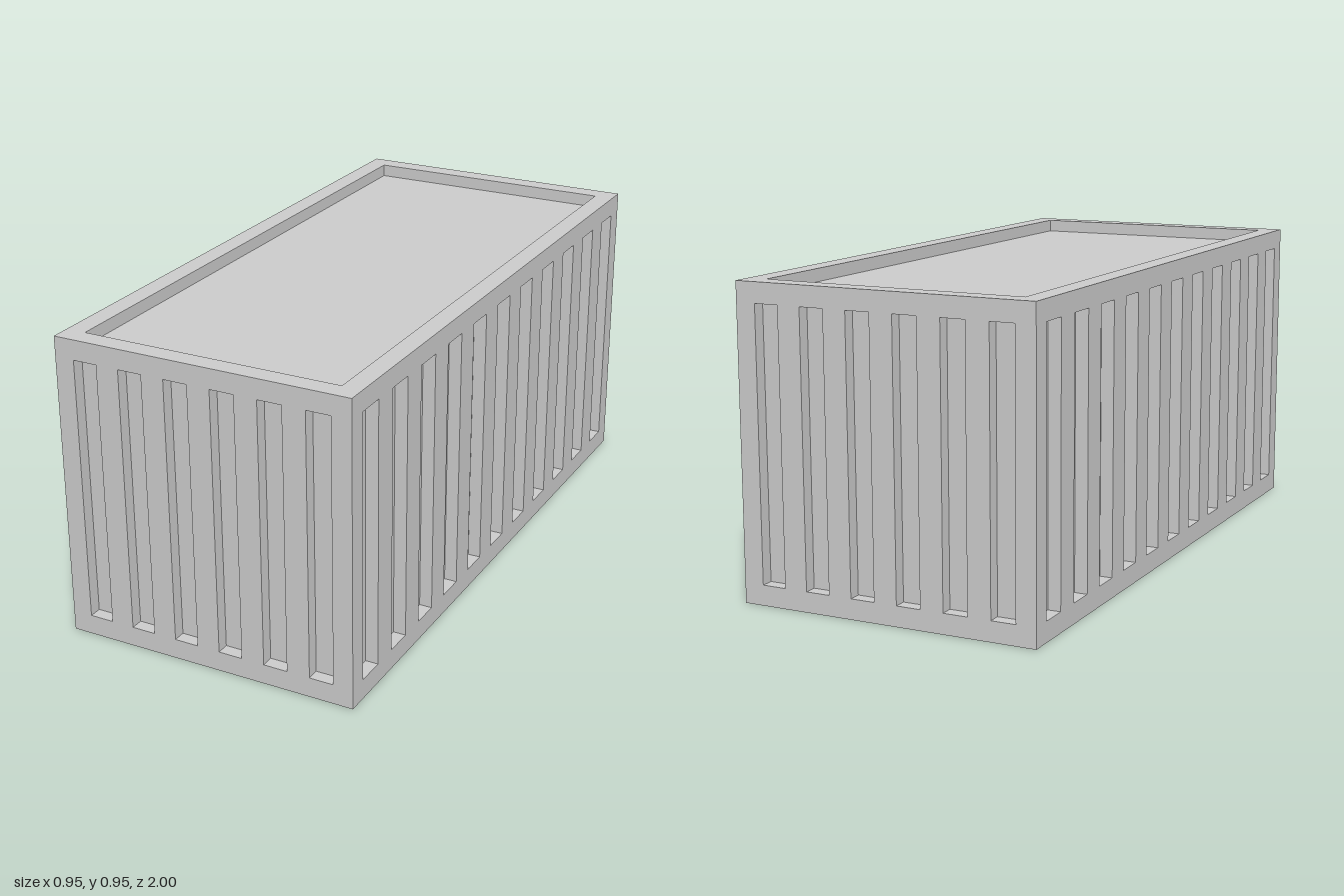
import * as THREE from 'three';
import { mergeGeometries } from 'three/addons/utils/BufferGeometryUtils.js';

const W = 0.95, H = 0.955, L = 2; // overall width, height, length
const RIM = 0.0625;               // frame border around every face
const DEPTH = 0.04;               // depth of grooves and recesses

// Inner walls and floor of a rectangular pocket sunk below z = 0
function pocket(x, y, w, h) {
  const d = DEPTH, q = Math.PI / 2;
  return [
    new THREE.PlaneGeometry(w, h).translate(x, y, -d),
    new THREE.PlaneGeometry(d, h).rotateY(q).translate(x - w / 2, y, -d / 2),
    new THREE.PlaneGeometry(d, h).rotateY(-q).translate(x + w / 2, y, -d / 2),
    new THREE.PlaneGeometry(w, d).rotateX(-q).translate(x, y - h / 2, -d / 2),
    new THREE.PlaneGeometry(w, d).rotateX(q).translate(x, y + h / 2, -d / 2),
  ];
}

// Flat face in the xy plane with a row of evenly spaced upright pockets
function panel(w, h, count, pocketWidth) {
  const shape = new THREE.Shape([
    new THREE.Vector2(-w / 2, -h / 2), new THREE.Vector2(w / 2, -h / 2),
    new THREE.Vector2(w / 2, h / 2), new THREE.Vector2(-w / 2, h / 2),
  ]);
  const ph = h - 2 * RIM, parts = [];
  const first = -w / 2 + RIM + pocketWidth / 2;
  const pitch = count > 1 ? -2 * first / (count - 1) : 0;
  for (let i = 0; i < count; i++) {
    const x = first + i * pitch, a = pocketWidth / 2, b = ph / 2;
    shape.holes.push(new THREE.Path([
      new THREE.Vector2(x - a, -b), new THREE.Vector2(x - a, b),
      new THREE.Vector2(x + a, b), new THREE.Vector2(x + a, -b),
    ]));
    parts.push(...pocket(x, 0, pocketWidth, ph));
  }
  return mergeGeometries([new THREE.ShapeGeometry(shape), ...parts]);
}

export function createModel() {
  const group = new THREE.Group();
  group.name = 'shippingContainer';
  const material = new THREE.MeshStandardMaterial({ color: 0xcccccc, flatShading: true });

  const add = (name, geometry, position, rx = 0, ry = 0) => {
    const mesh = new THREE.Mesh(geometry, material);
    mesh.name = name;
    mesh.position.set(...position);
    mesh.rotation.set(rx, ry, 0);
    group.add(mesh);
  };

  // Grooved end walls
  const end = panel(W, H, 6, 0.0765);
  add('frontWall', end, [0, H / 2, L / 2]);
  add('backWall', end, [0, H / 2, -L / 2], 0, Math.PI);

  // Grooved long walls
  const side = panel(L, H, 11, 0.092);
  add('leftWall', side, [W / 2, H / 2, 0], 0, Math.PI / 2);
  add('rightWall', side, [-W / 2, H / 2, 0], 0, -Math.PI / 2);

  // Roof and underside, each with one wide recess
  const deck = panel(W, L, 1, W - 2 * RIM);
  add('roof', deck, [0, H, 0], -Math.PI / 2);
  add('underside', deck, [0, 0, 0], Math.PI / 2);

  return group;
}
